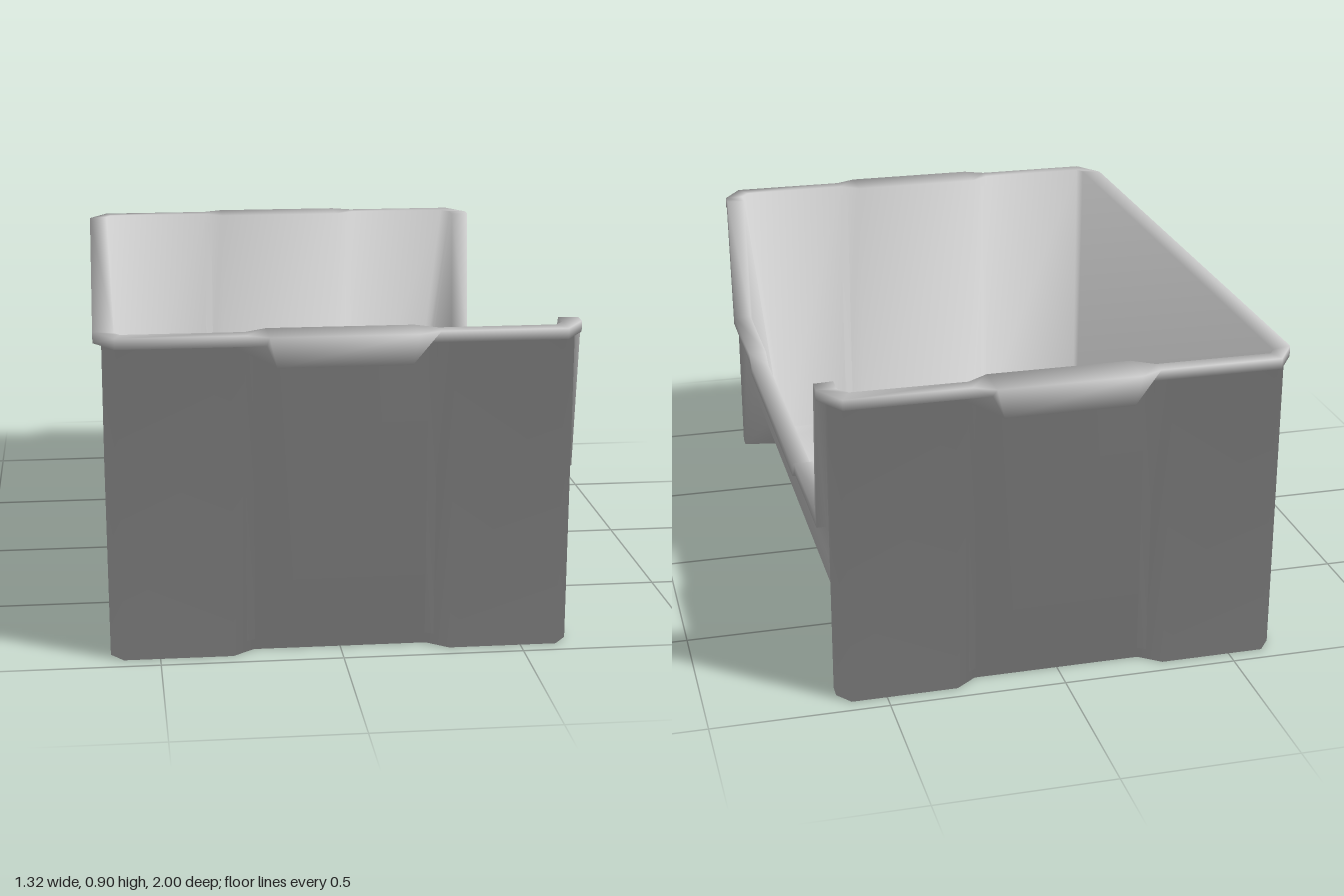
import * as THREE from 'three';

const material = new THREE.MeshStandardMaterial({ color: 0xcccccc, side: THREE.DoubleSide });

const RIM_UNDER = 0.875;
const RIM_TOP = 0.905;
const FLOOR_TOP = 0.03;

// Cross-section (x, y) of the low curved side, outside going up and inside going down
const curveOut = [[0.48, 0], [0.55, 0.09], [0.6, 0.22], [0.622, 0.36]];
const curveIn = [[0.594, 0.36], [0.57, 0.23], [0.52, 0.12], [0.45, FLOOR_TOP]];

// Section through the low side: rows from the outer bottom over the lip to the inner floor
function lowColumn({ bottom, under, top, dip }) {
  return [
    ...curveOut.map(([x, y]) => [x, y, bottom + (under - bottom) * y / 0.475]),
    [0.632, 0.475 - dip, under], [0.66, 0.475 - dip, under],
    [0.66, 0.505 - dip, top], [0.605, 0.505 - dip, top],
    ...curveIn.map(([x, y]) => [x, y, bottom + (top - bottom) * y / 0.505]),
  ];
}

// Section through a full-height wall with the same number of rows
function highColumn({ outer, rim, inner, base = inner, under = [rim[0], RIM_UNDER, rim[1]] }) {
  const at = ([x, z], y) => [x, y, z];
  return [
    ...Array(4).fill(at(outer, 0)),
    at(outer, RIM_UNDER), under, at(rim, RIM_TOP), at(inner, RIM_TOP),
    ...Array(4).fill(at(base, FLOOR_TOP)),
  ];
}

// Sections of the front half, from the middle of the low side round to the tall side
function frontColumns() {
  return [
    ...[
      { bottom: 0.41, under: 0.41, top: 0.4, dip: 0.028 },
      { bottom: 0.45, under: 0.45, top: 0.45, dip: 0 },
      { bottom: 0.84, under: 0.82, top: 0.8, dip: 0 },
    ].map(lowColumn),
    ...[
      // post beside the opening and its corner
      { outer: [0.635, 0.87], rim: [0.66, 0.84], inner: [0.605, 0.835], base: [0.5, 0.88],
        under: [0.66, RIM_UNDER, 0.868] },
      { outer: [0.635, 0.91], rim: [0.66, 0.885], inner: [0.605, 0.89], base: [0.5, 0.905] },
      { outer: [0.6, 0.955], rim: [0.605, 0.97], inner: [0.58, 0.922], base: [0.48, 0.92] },
      // recessed end panel with the finger grip above it
      { outer: [0.3, 0.955], rim: [0.26, 0.97], inner: [0.26, 0.925], under: [0.205, RIM_UNDER, 0.97] },
      { outer: [0.24, 0.91], rim: [0.2, 1], inner: [0.2, 0.885], under: [0.18, 0.822, 1] },
      { outer: [-0.24, 0.91], rim: [-0.2, 1], inner: [-0.2, 0.885], under: [-0.18, 0.822, 1] },
      { outer: [-0.3, 0.955], rim: [-0.26, 0.97], inner: [-0.26, 0.925], under: [-0.205, RIM_UNDER, 0.97] },
      // corner of the tall side
      { outer: [-0.6, 0.955], rim: [-0.605, 0.97], inner: [-0.59, 0.925], base: [-0.59, 0.92] },
      { outer: [-0.635, 0.91], rim: [-0.662, 0.885], inner: [-0.605, 0.9], base: [-0.6, 0.9] },
    ].map(highColumn),
  ];
}

// Collects triangles with shared corners, so that all parts get one smooth set of normals
class Shell {
  constructor() {
    this.points = [];
    this.normals = [];
    this.lookup = new Map();
  }

  corner(p) {
    const key = p.map((v) => Math.round(v * 1e4)).join();
    if (!this.lookup.has(key)) {
      this.lookup.set(key, this.points.length);
      this.points.push(new THREE.Vector3(...p));
      this.normals.push(new THREE.Vector3());
    }
    return this.lookup.get(key);
  }

  // Adds a triangle to a part; each corner's normal is weighted by its angle
  triangle(indices, ...corners) {
    const ids = corners.map((p) => this.corner(p));
    const [a, b, c] = ids.map((i) => this.points[i]);
    const normal = b.clone().sub(a).cross(c.clone().sub(a));
    if (normal.length() < 1e-7) return;
    normal.normalize();
    ids.forEach((id, k) => {
      const here = this.points[id];
      const next = this.points[ids[(k + 1) % 3]].clone().sub(here);
      const last = this.points[ids[(k + 2) % 3]].clone().sub(here);
      this.normals[id].addScaledVector(normal, next.angleTo(last));
    });
    indices.push(...ids);
  }

  // Skins the rows from..to of a closed loop of sections
  band(columns, from, to) {
    const indices = [];
    columns.forEach((column, i) => {
      const next = columns[(i + 1) % columns.length];
      for (let j = from; j < to; j++) {
        this.triangle(indices, column[j], column[j + 1], next[j]);
        this.triangle(indices, next[j], column[j + 1], next[j + 1]);
      }
    });
    return indices;
  }

  // Closes one row with a flat face that looks up or down
  cap(columns, row, up) {
    const indices = [];
    const ring = columns.map((column) => column[row]);
    const contour = ring.map(([x, , z]) => new THREE.Vector2(x, z));
    for (const face of THREE.ShapeUtils.triangulateShape(contour, [])) {
      const [a, b, c] = face.map((i) => contour[i]);
      const facesDown = b.clone().sub(a).cross(c.clone().sub(a)) > 0;
      if (facesDown === up) face.reverse();
      this.triangle(indices, ...face.map((i) => ring[i]));
    }
    return indices;
  }

  mesh(name, indices) {
    const geometry = new THREE.BufferGeometry().setFromPoints(this.points);
    const normals = this.normals.flatMap((n) => n.clone().normalize().toArray());
    geometry.setAttribute('normal', new THREE.Float32BufferAttribute(normals, 3));
    geometry.setIndex(indices);
    const mesh = new THREE.Mesh(geometry, material);
    mesh.name = name;
    return mesh;
  }
}

export function createModel() {
  const group = new THREE.Group();
  group.name = 'storageBin';

  // The back half mirrors the front half
  const front = frontColumns();
  const back = front.map((column) => column.map(([x, y, z]) => [x, y, -z])).reverse();
  const columns = [...front, ...back];

  const shell = new Shell();
  const parts = {
    outerWalls: shell.band(columns, 0, 4),
    rimAndGrips: shell.band(columns, 4, 7),
    innerWalls: shell.band(columns, 7, 11),
    underside: shell.cap(columns, 0, false),
    floor: shell.cap(columns, 11, true),
  };
  for (const [name, indices] of Object.entries(parts)) group.add(shell.mesh(name, indices));
  return group;
}
